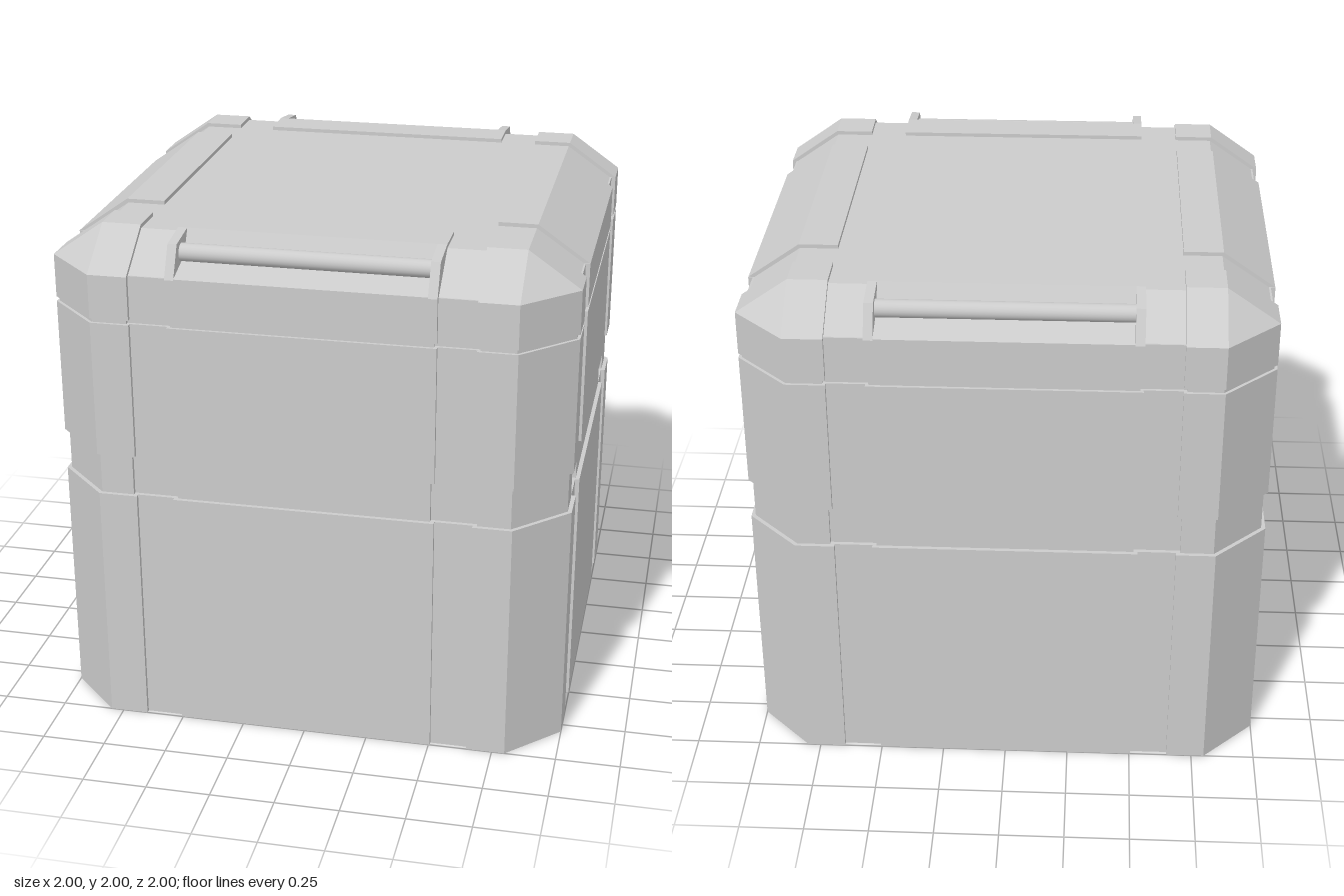
import * as THREE from 'three';
import { ConvexGeometry } from 'three/addons/geometries/ConvexGeometry.js';

const GROOVE = 0.017; // depth of the vertical and top grooves
const material = new THREE.MeshStandardMaterial({ color: 0xcccccc });

function add(parent, name, geometry) {
  const mesh = new THREE.Mesh(geometry, material);
  mesh.name = name;
  parent.add(mesh);
  return mesh;
}

// Chamfered square with two grooves per side, shrunk evenly by `inset`
function outline(inset) {
  const out = 1 - inset, deep = out - GROOVE;
  const corner = 0.8 - 0.414 * inset, a = 0.65 + inset, b = 0.505 - inset;
  const half = [[out, b], [deep, b], [deep, a], [out, a], [out, corner]];
  const side = [...half.map(([x, y]) => [x, -y]).reverse(), ...half];
  const points = [];
  for (let i = 0; i < 4; i++) {
    for (const [x, y] of side) {
      points.push(new THREE.Vector2(x, y).rotateAround(new THREE.Vector2(), i * Math.PI / 2));
    }
  }
  return new THREE.Shape(points);
}

// Horizontal layer of the case between two heights
function layer(parent, name, y0, y1, inset) {
  const geometry = new THREE.ExtrudeGeometry(outline(inset), { depth: y1 - y0, bevelEnabled: false });
  geometry.rotateX(-Math.PI / 2).translate(0, y0, 0);
  add(parent, name, geometry);
}

// Profile given as [z, y], extruded along x from x0 to x1
function alongX(profile, x0, x1) {
  const shape = new THREE.Shape(profile.map(([z, y]) => new THREE.Vector2(-z, y)));
  return new THREE.ExtrudeGeometry(shape, { depth: x1 - x0, bevelEnabled: false })
    .rotateY(Math.PI / 2).translate(x0, 0, 0);
}

const hull = (points) => new ConvexGeometry(points.map((p) => new THREE.Vector3(...p)));

export function createModel() {
  const model = new THREE.Group();
  model.name = 'storageCase';

  // Stacked body layers
  layer(model, 'lowerBody', 0, 0.97, 0);
  layer(model, 'waistBand', 0.97, 1.135, 0.016);
  layer(model, 'upperBody', 1.135, 1.672, 0);
  layer(model, 'lidSeam', 1.672, 1.69, 0.012);
  layer(model, 'lidRim', 1.69, 1.86, 0);

  // Middle of the lid, with a handle recess at the front and back
  const recess = [[0.65, 1.985], [0.65, 2], [0.8, 2], [0.85, 1.91], [1, 1.865], [1, 1.855]];
  const lidProfile = [...recess, ...recess.map(([z, y]) => [-z, y]).reverse()];
  add(model, 'lidMiddle', alongX(lidProfile, -0.47, 0.47));

  const r = 1 - GROOVE;
  for (const s of [-1, 1]) {
    // Bevelled lid surface beside the recesses
    const core = [];
    for (const t of [-1, 1]) {
      core.push(
        [s * 0.47, 1.985, t * 0.795], [s * 0.795, 1.985, t * 0.795],
        [s * 0.47, 1.855, t * r], [s * 0.79, 1.855, t * r], [s * r, 1.855, t * 0.79],
      );
    }
    add(model, 'lidSide', hull(core));

    // Raised side panel
    const panel = [];
    for (const z of [-0.5, 0.5]) {
      panel.push([s * 0.65, 1.86, z], [s * 0.65, 2, z], [s * 0.8, 2, z], [s * 1, 1.86, z]);
    }
    add(model, 'lidSidePanel', hull(panel));

    // Raised corner guards
    for (const t of [-1, 1]) {
      const guard = [
        [0.65, 2, 0.65], [0.8, 2, 0.65], [0.8, 2, 0.8], [0.65, 2, 0.8],
        [0.65, 1.86, 0.65], [1, 1.86, 0.65], [1, 1.86, 0.8], [0.8, 1.86, 1], [0.65, 1.86, 1],
      ];
      add(model, 'lidCornerGuard', hull(guard.map(([x, y, z]) => [s * x, y, t * z])));
    }
  }

  // Handles with cheeks, front and back
  const cheek = [[0.65, 1.86], [1, 1.86], [0.94, 1.98], [0.8, 2], [0.65, 2]];
  for (const turn of [0, Math.PI]) {
    const handle = new THREE.Group();
    handle.name = turn ? 'backHandle' : 'frontHandle';
    handle.rotation.y = turn;
    add(handle, 'handleCheek', alongX(cheek, -0.505, -0.47));
    add(handle, 'handleCheek', alongX(cheek, 0.47, 0.505));
    const bar = new THREE.CylinderGeometry(0.034, 0.034, 0.96, 20).rotateZ(Math.PI / 2);
    add(handle, 'handleBar', bar.translate(0, 1.935, 0.888));
    model.add(handle);
  }
  return model;
}
